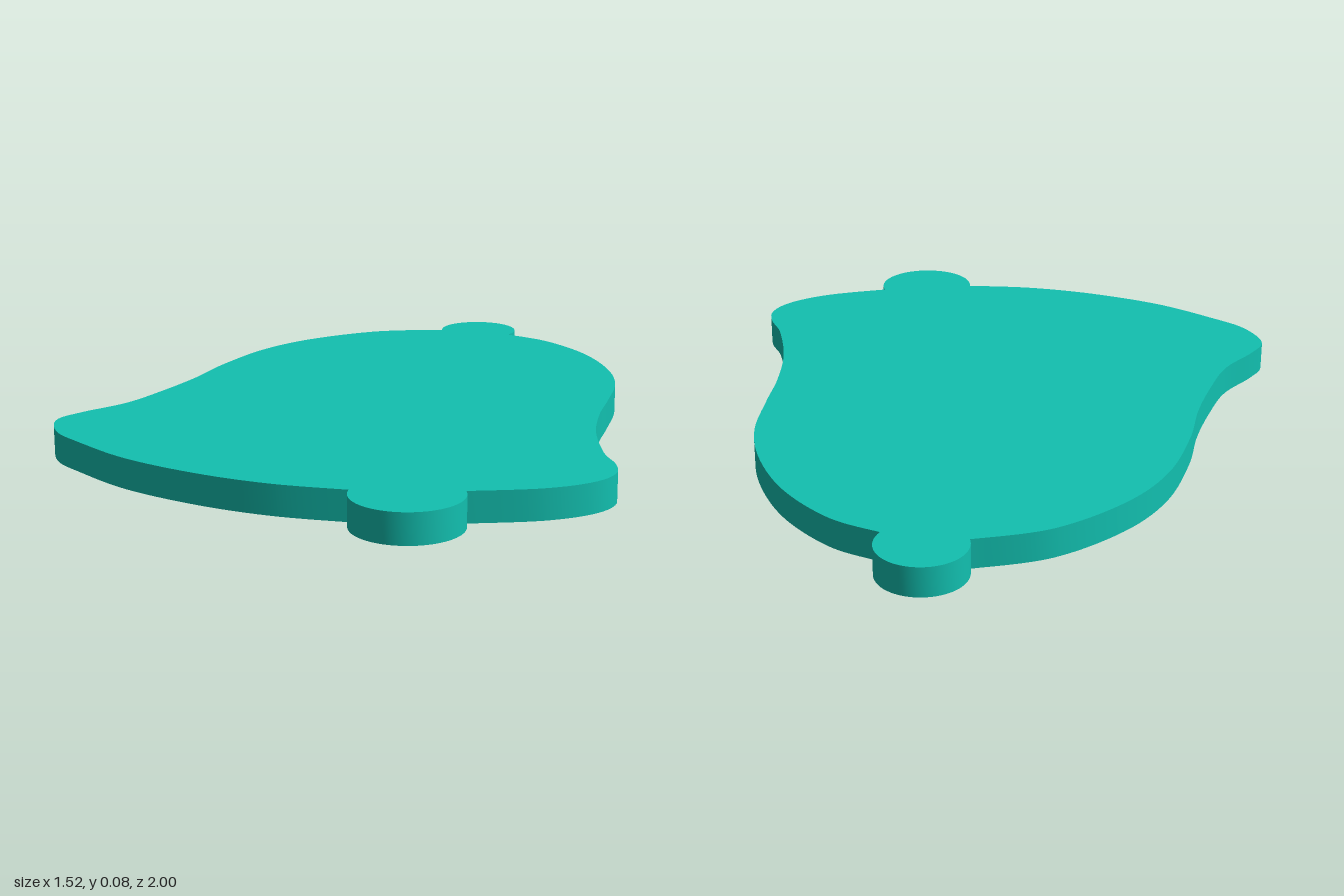
import * as THREE from 'three';
import { toCreasedNormals } from 'three/addons/utils/BufferGeometryUtils.js';

const THICKNESS = 0.08;

// Smooth curve through [x, z] points, without its two end points
function curve(points, count) {
  const spline = new THREE.SplineCurve(points.map(([x, z]) => new THREE.Vector2(x, -z)));
  return spline.getSpacedPoints(count).slice(1, -1);
}

// Clockwise arc about [x, z], end points included
function arc(x, z, radius, start, end, count = 40) {
  return Array.from({ length: count + 1 }, (_, i) => {
    const a = start + (end - start) * i / count;
    return new THREE.Vector2(x + radius * Math.cos(a), -z + radius * Math.sin(a));
  });
}

export function createModel() {
  const group = new THREE.Group();
  group.name = 'bell';

  // Hanging knob at the back, clapper at the front
  const knob = arc(0, -0.883, 0.117, Math.PI + 0.35, -0.35);
  const clapper = arc(0.33, 0.86, 0.14, 0.47, -3.03);

  // Flank from the knob down to the flared lip, then in to the clapper
  const leftSide = curve([
    [0.11, -0.843], [0.25, -0.79], [0.4, -0.66], [0.51, -0.49], [0.57, -0.32],
    [0.59, -0.13], [0.6, 0.02], [0.63, 0.2], [0.69, 0.38], [0.74, 0.47],
    [0.757, 0.55], [0.72, 0.635], [0.62, 0.72], [0.455, 0.797],
  ], 100);

  // Curved rim from the clapper to the other lip, then up to the knob
  const rimAndRightSide = curve([
    [0.19, 0.876], [0, 0.89], [-0.2, 0.87], [-0.42, 0.81], [-0.6, 0.715],
    [-0.7, 0.645], [-0.757, 0.54], [-0.73, 0.45], [-0.66, 0.32], [-0.625, 0.17],
    [-0.6, 0], [-0.59, -0.18], [-0.55, -0.4], [-0.46, -0.585], [-0.3, -0.755],
    [-0.11, -0.843],
  ], 130);

  const outline = new THREE.Shape([...knob, ...leftSide, ...clapper, ...rimAndRightSide]);
  const plate = new THREE.ExtrudeGeometry(outline, { depth: THICKNESS, bevelEnabled: false });
  plate.rotateX(-Math.PI / 2);

  const mesh = new THREE.Mesh(
    toCreasedNormals(plate, Math.PI / 6),
    new THREE.MeshStandardMaterial({ color: 0x12c0b0 }),
  );
  mesh.name = 'bellPlate';
  group.add(mesh);
  return group;
}
